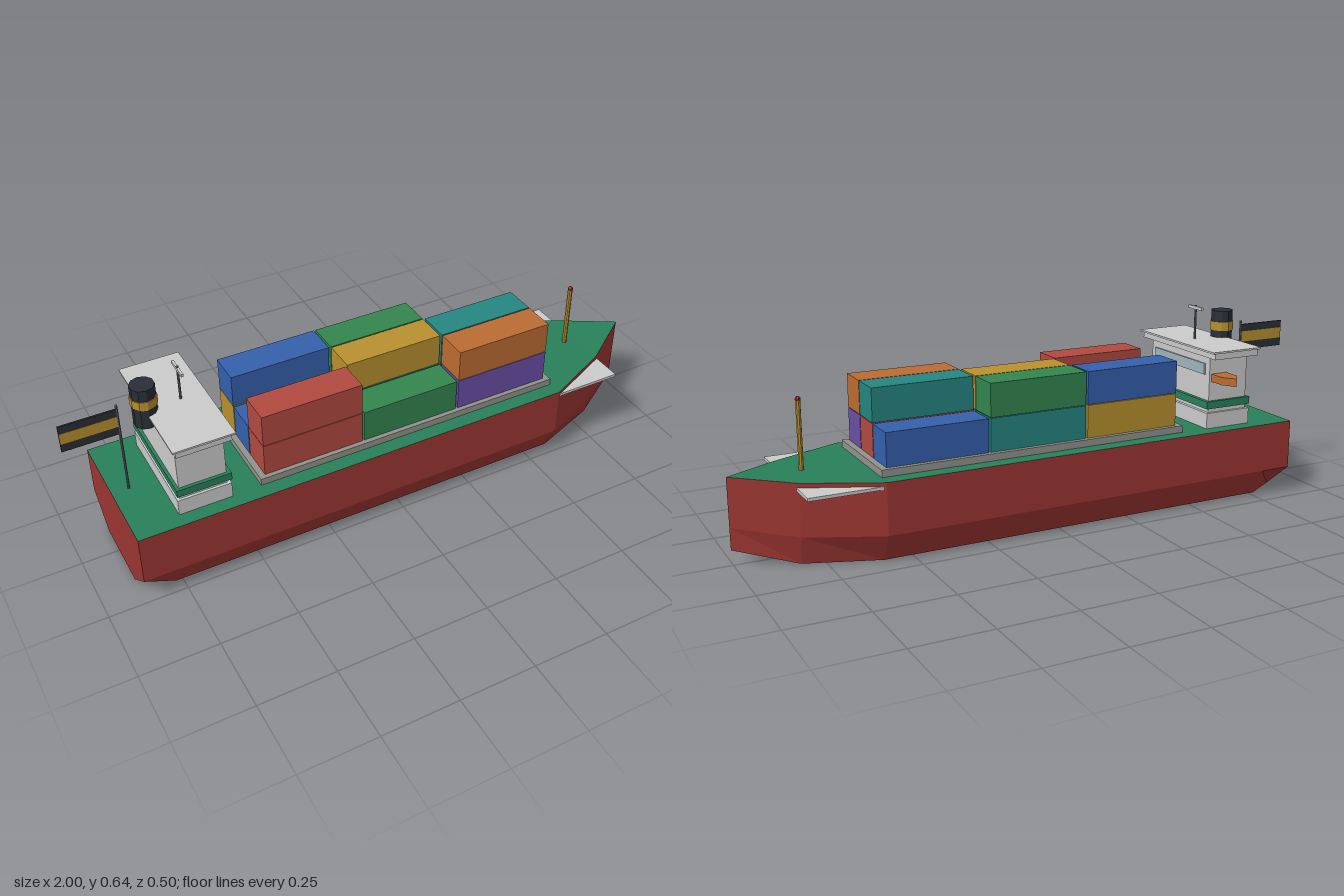
import * as THREE from 'three';

const COLORS = {
  hull: 0x9c3632, deck: 0x28805a, white: 0xcccccc, coaming: 0x92928c, dark: 0x2a2e36, gold: 0xb8902f,
  red: 0xb04a40, yellow: 0xb8902f, orange: 0xbb6c32, green: 0x33854f, teal: 0x258580, blue: 0x3460ac,
  purple: 0x6a4ea6, glass: 0x9fb4bc, metal: 0x666b72, lamp: 0xa02020,
};

export function createModel() {
  const model = new THREE.Group();
  model.name = 'containerShip';
  const ship = new THREE.Group();
  ship.name = 'ship';
  ship.position.z = 0.021; // the lifeboat juts out on one side only
  model.add(ship);

  const materials = {};
  const material = (c) => (materials[c] ??= new THREE.MeshStandardMaterial({ color: COLORS[c], flatShading: true }));
  const add = (name, geometry, color, x = 0, y = 0, z = 0) => {
    const mesh = new THREE.Mesh(geometry, material(color));
    mesh.name = name;
    mesh.position.set(x, y, z);
    ship.add(mesh);
    return mesh;
  };
  // box given by its x and y ranges and its half width across the ship
  const box = (name, color, x0, x1, y0, y1, half, z = 0) =>
    add(name, new THREE.BoxGeometry(x1 - x0, y1 - y0, half * 2), color, (x0 + x1) / 2, (y0 + y1) / 2, z);
  const post = (name, color, r, x, y0, y1, sides = 8) =>
    add(name, new THREE.CylinderGeometry(r, r, y1 - y0, sides), color, x, (y0 + y1) / 2);

  // Hull stations: x, deck y, deck half width, chine y, chine half width, keel y, keel half width
  const rings = [
    [-0.88, 0.255, 0.23, 0.09, 0.23, 0, 0.12],
    [-0.77, 0.255, 0.23, 0.09, 0.23, 0, 0.185],
    [0.59, 0.255, 0.23, 0.09, 0.23, 0, 0.185],
    [0.82, 0.257, 0.125, 0.09, 0.125, 0, 0.1],
    [1.0, 0.267, 0, 0.11, 0, 0.04, 0],
  ].map(([x, dy, dw, cy, cw, ky, kw]) => [
    [x, dy, dw], [x, cy, cw], [x, ky, kw], [x, ky, -kw], [x, cy, -cw], [x, dy, -dw],
  ]);
  const fromTriangles = (points) => {
    const g = new THREE.BufferGeometry();
    g.setAttribute('position', new THREE.Float32BufferAttribute(points.flat(), 3));
    g.computeVertexNormals();
    return g;
  };
  const skin = (k0, k1) => {
    const pts = [];
    for (let i = 0; i < rings.length - 1; i++) {
      for (let k = k0; k < k1; k++) {
        const a = rings[i][k], b = rings[i + 1][k];
        const c = rings[i + 1][(k + 1) % 6], d = rings[i][(k + 1) % 6];
        pts.push(a, d, c, a, c, b);
      }
    }
    return pts;
  };
  const transom = [];
  for (let k = 1; k < 5; k++) transom.push(rings[0][0], rings[0][k + 1], rings[0][k]);
  add('hull', fromTriangles([...skin(0, 5), ...transom]), 'hull');
  add('deck', fromTriangles(skin(5, 6)), 'deck');

  // Bow side plates
  for (const s of [1, -1]) box('bowPlate', 'white', 0.59, 0.827, 0.233, 0.243, 0.055, s * 0.171);

  // Hatch coaming and cargo; rows run from +z to -z, bays from stern to bow
  box('hatchCoaming', 'coaming', -0.47, 0.587, 0.25, 0.278, 0.18);
  const tiers = [
    [['red', 'green', 'purple'], ['blue', 'teal', 'red'], ['yellow', 'teal', 'blue']],
    [['red', null, 'orange'], [null, 'yellow', 'teal'], ['blue', 'green', null]],
  ];
  const containerGeometry = new THREE.BoxGeometry(0.334, 0.108, 0.107);
  tiers.forEach((rows, t) => rows.forEach((bays, r) => bays.forEach((color, b) => {
    if (color) add('container', containerGeometry, color, -0.283 + b * 0.341, 0.332 + t * 0.11, (1 - r) * 0.111);
  })));

  // Bridge house
  box('houseBase', 'white', -0.735, -0.564, 0.25, 0.308, 0.183);
  box('houseBody', 'white', -0.725, -0.575, 0.308, 0.5, 0.174);
  box('houseBand', 'deck', -0.735, -0.562, 0.323, 0.348, 0.185);
  box('bridgeWindow', 'glass', -0.576, -0.569, 0.435, 0.472, 0.15);
  box('bridgeWing', 'white', -0.735, -0.564, 0.497, 0.518, 0.218);
  box('bridgeRoof', 'white', -0.745, -0.553, 0.518, 0.524, 0.223);

  // Lifeboat: flat pointed hull on the -z side
  const boat = new THREE.Shape([[-0.03, 0.15], [0.03, 0.15], [0.03, 0.233], [0, 0.273], [-0.03, 0.233]]
    .map(([x, y]) => new THREE.Vector2(x, y)));
  const boatGeometry = new THREE.ExtrudeGeometry(boat, { depth: 0.026, bevelEnabled: false });
  boatGeometry.rotateX(-Math.PI / 2);
  add('lifeboat', boatGeometry, 'orange', -0.613, 0.414, 0);

  // Funnel
  post('funnel', 'dark', 0.038, -0.743, 0.48, 0.616, 10);
  post('funnelBand', 'gold', 0.041, -0.743, 0.548, 0.578, 10);

  // Radar mast
  post('radarMast', 'metal', 0.004, -0.632, 0.52, 0.641);
  box('radarBar', 'white', -0.636, -0.628, 0.627, 0.637, 0.039);

  // Stern flag
  post('flagPole', 'metal', 0.004, -0.825, 0.25, 0.57);
  box('flag', 'dark', -1, -0.827, 0.467, 0.557, 0.003);
  box('flagStripe', 'gold', -0.999, -0.828, 0.495, 0.532, 0.004);

  // Bow mast with lamp
  post('bowMast', 'gold', 0.008, 0.775, 0.25, 0.472);
  add('bowLamp', new THREE.SphereGeometry(0.009, 8, 6), 'lamp', 0.775, 0.475, 0);

  return model;
}
